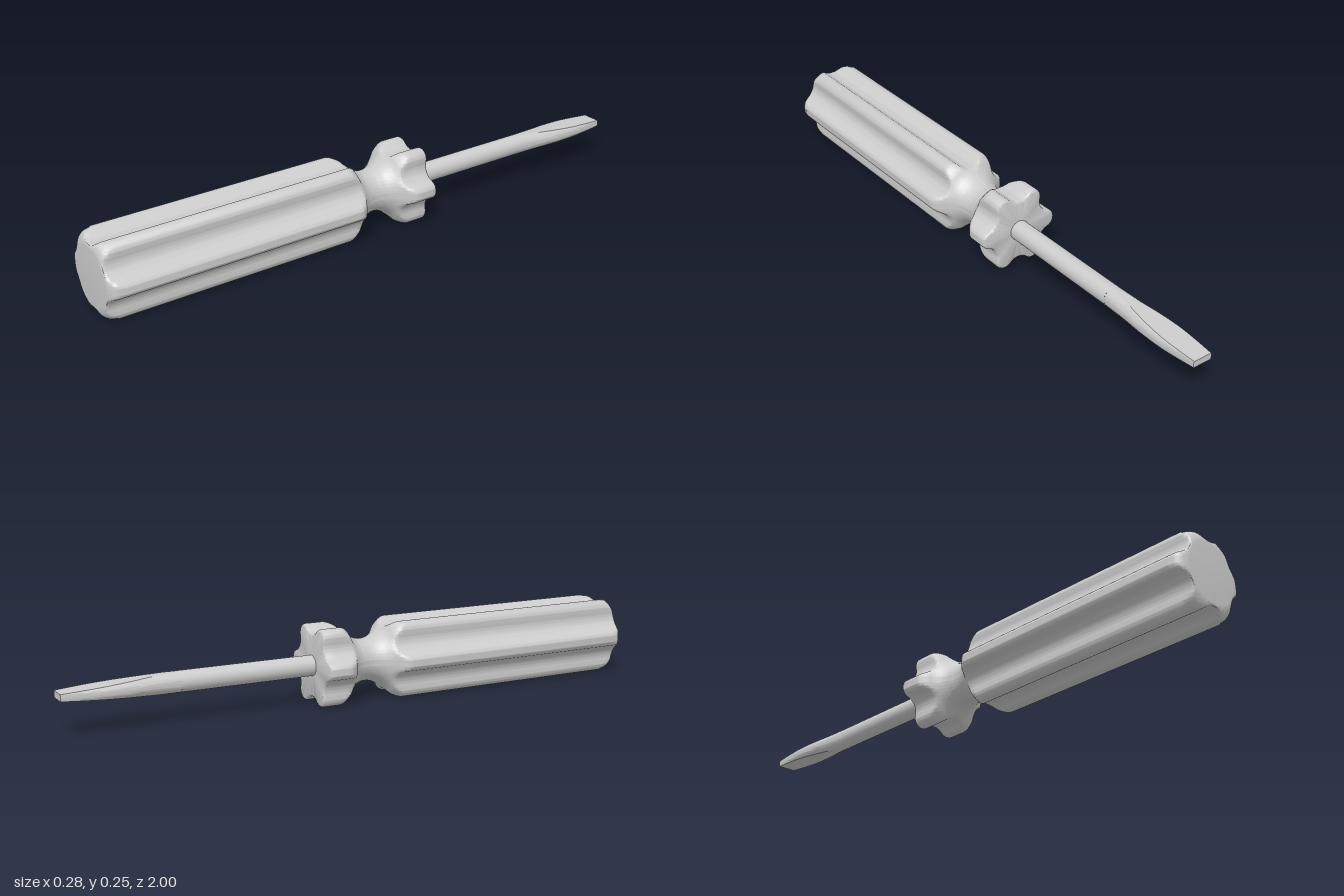
import * as THREE from 'three';
import { toCreasedNormals } from 'three/addons/utils/BufferGeometryUtils.js';

const AXIS_Y = 0.13;
const { PI, sin, cos, sqrt, abs, min, max, hypot, atan2, asin } = Math;
const lerp = THREE.MathUtils.lerp;

// Skins rings of [x, y, z] ordered from +z to -z, counter-clockwise seen from +z, and caps both ends.
function loft(rings, crease) {
  const n = rings[0].length, last = (rings.length - 1) * n;
  const pos = rings.flat(2), index = [];
  const front = rings.length * n, back = front + 1;
  pos.push(0, 0, rings[0][0][2], 0, 0, rings[rings.length - 1][0][2]);
  for (let i = 0; i < rings.length - 1; i++) {
    for (let j = 0; j < n; j++) {
      const k = (j + 1) % n, a = i * n + j, b = i * n + k;
      index.push(a, a + n, b, b, a + n, b + n);
    }
  }
  for (let j = 0; j < n; j++) {
    const k = (j + 1) % n;
    index.push(front, j, k, back, last + k, last + j);
  }
  const g = new THREE.BufferGeometry();
  g.setAttribute('position', new THREE.Float32BufferAttribute(pos, 3));
  g.setIndex(index);
  return toCreasedNormals(g, crease);
}

// Six-lobed grip section in polar form: convex lobe arcs tangent to concave flute arcs.
function gripSection() {
  const lobeC = 0.112, lobeR = 0.03, fluteC = 0.157, fluteR = 0.052;
  const fx = fluteC * cos(PI / 6), fy = fluteC * sin(PI / 6);
  const join = atan2(fy, fx - lobeC); // direction from lobe centre to flute centre
  const points = [], arc = 8;
  for (let s = 0; s < 6; s++) {
    const add = (x, y) => points.push([atan2(y, x) + s * PI / 3, hypot(x, y)]);
    for (let i = 0; i < 2 * arc; i++) {
      const t = lerp(-join, join, i / (2 * arc));
      add(lobeC + lobeR * cos(t), lobeR * sin(t));
    }
    const from = join + PI, to = 2 * (PI + PI / 6) - from;
    for (let i = 0; i < 2 * arc; i++) {
      const t = lerp(from, to, i / (2 * arc));
      add(fx + fluteR * cos(t), fy + fluteR * sin(t));
    }
  }
  return points;
}

// Turned outline that trims the grip: rounded butt, waisted neck.
function turnedRadius(z) {
  if (z > 0.955) return 0.097 + sqrt(max(0, 0.045 ** 2 - (z - 0.955) ** 2));
  const d = abs(z - 0.02);
  if (d < 0.08) return 0.16 - sqrt(0.09 ** 2 - d * d);
  return 0.119 + (d - 0.08) * 0.9;
}

// Polynomial soft minimum that rounds the trimmed edge.
function softMin(a, b, k) {
  const h = max(k - abs(a - b), 0) / k;
  return min(a, b) - h * h * k / 4;
}

function handleGeometry() {
  const section = gripSection(), stations = [];
  for (let i = 0; i <= 10; i++) stations.push(0.955 + 0.045 * cos(i / 10 * PI / 2));
  const end = -0.165, bevel = 0.01;
  for (let i = 0; i <= 48; i++) stations.push(lerp(0.16, -0.12, i / 48));
  for (let i = 0; i <= 5; i++) stations.push(end + bevel - bevel * sin(i / 5 * PI / 2));
  const rings = stations.map(z => {
    const e = max(0, end + bevel - z);
    const inset = bevel - sqrt(max(0, bevel * bevel - e * e));
    return section.map(([a, r]) => {
      const q = softMin(r, turnedRadius(z), 0.012) - inset;
      return [q * cos(a), q * sin(a), z];
    });
  });
  return loft(rings, 0.7);
}

// Round rod whose end is flattened above and below into a flared flat blade.
function bladeGeometry() {
  const r = 0.034, steps = 12;
  const flare = new THREE.SplineCurve([
    [-0.62, 0.034], [-0.7, 0.037], [-0.78, 0.044], [-0.86, 0.046], [-0.93, 0.041], [-1, 0.034],
  ].map(p => new THREE.Vector2(...p)));
  const ring = (z, w) => {
    const t = min(r, lerp(r, 0.011, (-0.64 - z) / 0.36));
    const a = asin(t / r), side = [], flat = [];
    for (let i = 0; i < steps; i++) {
      const s = lerp(-a, a, i / steps);
      side.push([w * cos(s), r * sin(s), z]);
    }
    for (let i = 0; i < steps; i++) flat.push([lerp(1, -1, i / steps) * w * cos(a), t, z]);
    const half = [...side, ...flat];
    return [...half, ...half.map(([x, y]) => [-x, -y, z])];
  };
  const rings = [];
  for (let i = 0; i <= 30; i++) {
    const p = flare.getPoint(i / 30);
    rings.push(ring(p.x, p.y));
  }
  return loft(rings, 0.35);
}

export function createModel() {
  const model = new THREE.Group();
  model.name = 'screwdriver';
  const material = new THREE.MeshStandardMaterial({ color: 0xcccccc });
  const add = (name, geometry) => {
    const mesh = new THREE.Mesh(geometry, material);
    mesh.name = name;
    mesh.position.y = AXIS_Y;
    model.add(mesh);
  };
  add('handle', handleGeometry());
  // Shaft runs from inside the handle to the start of the blade.
  add('shaft', new THREE.CylinderGeometry(0.034, 0.034, 0.5, 48, 1, true).rotateX(PI / 2).translate(0, 0, -0.37));
  add('blade', bladeGeometry());
  return model;
}
